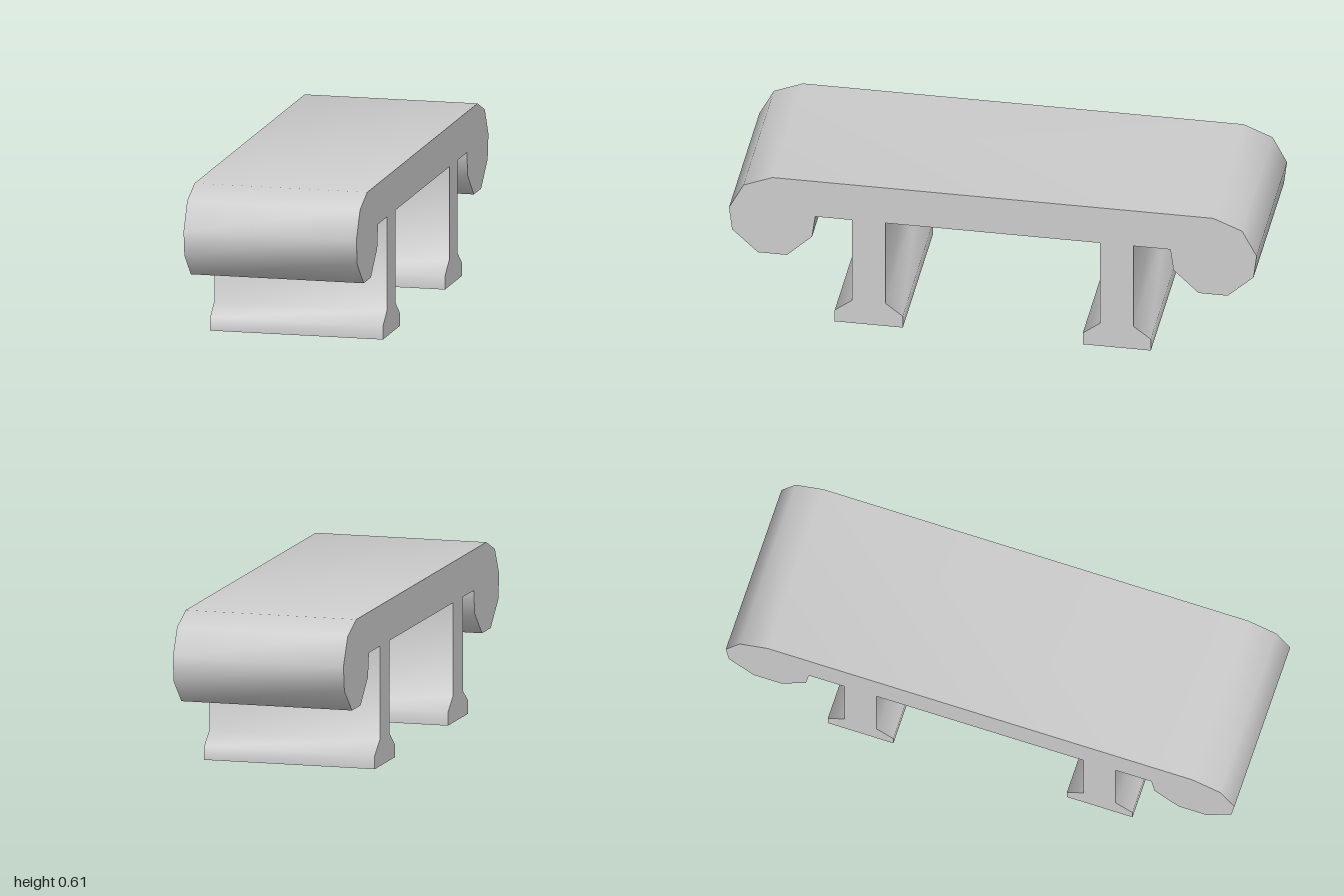
import * as THREE from 'three';
import { toCreasedNormals } from 'three/addons/utils/BufferGeometryUtils.js';

const WIDTH = 0.666;
const UNDERSIDE = 0.455;
const LEG_Z = 0.47;

// Extrudes a (z, y) profile across the width of the bench, smooth on the rounded edges
function extrudeAcross(name, points, material) {
  const shape = new THREE.Shape(points.map(([z, y]) => new THREE.Vector2(z, y)));
  const geometry = new THREE.ExtrudeGeometry(shape, { depth: WIDTH, bevelEnabled: false });
  geometry.translate(0, 0, -WIDTH / 2);
  geometry.rotateY(-Math.PI / 2);
  const mesh = new THREE.Mesh(toCreasedNormals(geometry, THREE.MathUtils.degToRad(60)), material);
  mesh.name = name;
  return mesh;
}

// Completes a half profile with its mirror image in z
const mirrored = (half) => [...half, ...half.map(([z, y]) => [-z, y]).reverse()];

export function createModel() {
  const group = new THREE.Group();
  group.name = 'bench';
  const material = new THREE.MeshStandardMaterial({ color: 0xcccccc });

  // Seat slab with a rounded scroll hanging at each end
  const seatHalf = [
    [0.835, 0.61], [0.945, 0.565], [1, 0.46], [0.988, 0.365], [0.89, 0.274],
    [0.78, 0.274], [0.685, 0.365], [0.673, UNDERSIDE],
  ];
  group.add(extrudeAcross('seat', mirrored(seatHalf), material));

  // Upright panels with a flared foot
  const legHalf = [[0.063, UNDERSIDE], [0.063, 0.1], [0.129, 0.05], [0.129, 0]];
  for (const [name, side] of [['frontLeg', 1], ['backLeg', -1]]) {
    const leg = extrudeAcross(name, mirrored(legHalf), material);
    leg.position.z = side * LEG_Z;
    group.add(leg);
  }

  return group;
}
